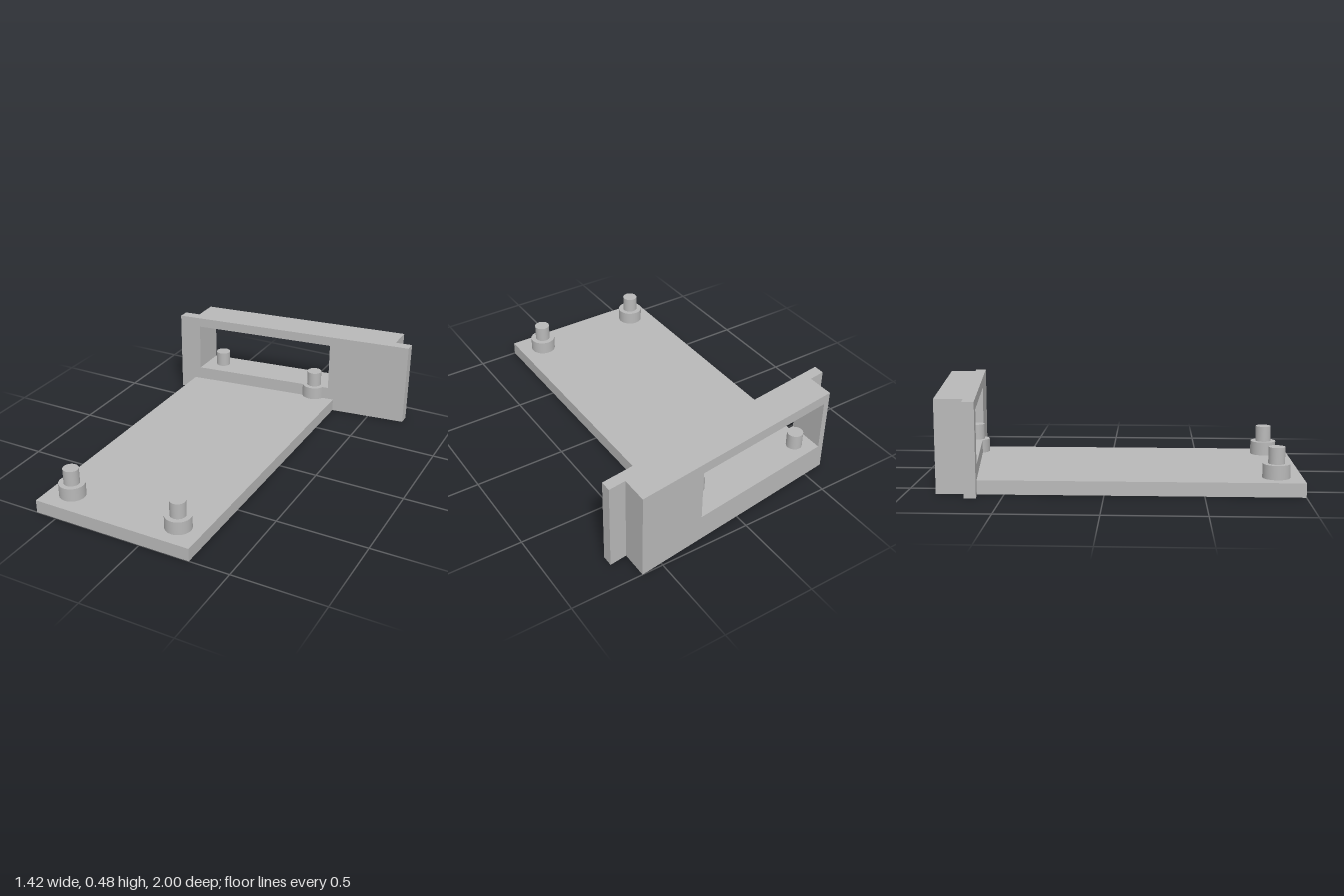
import * as THREE from 'three';

const SLOPE = -0.127;      // the end panel runs back towards +x
const FRONT = -0.715;      // panel front face at x = 0
const HEIGHT = 0.48;
const PLATE = 0.072;       // plate thickness
const SILL = 0.145;        // window sill and boss top

export function createModel() {
  const model = new THREE.Group();
  model.name = 'mountingBracket';
  const grey = new THREE.MeshStandardMaterial({ color: 0xb8b8b8 });
  grey.name = 'grey';

  function add(parent, name, geometry, x = 0, y = 0, z = 0) {
    const mesh = new THREE.Mesh(geometry, grey);
    mesh.name = name;
    mesh.position.set(x, y, z);
    parent.add(mesh);
  }

  const rectangle = (x0, y0, x1, y1) => [[x0, y0], [x1, y0], [x1, y1], [x0, y1]]
    .map(([x, y]) => new THREE.Vector2(x, y));

  // Windowed slab, sheared in z so its ends stay square to the plate
  function slab(x0, x1, back, front) {
    const shape = new THREE.Shape(rectangle(x0, 0, x1, HEIGHT));
    shape.holes.push(new THREE.Path(rectangle(-0.585, SILL, 0.245, 0.425)));
    const geometry = new THREE.ExtrudeGeometry(shape, { depth: front - back, bevelEnabled: false });
    const p = geometry.attributes.position;
    for (let i = 0; i < p.count; i++) p.setZ(i, p.getZ(i) + back + SLOPE * p.getX(i));
    geometry.computeVertexNormals();
    return geometry;
  }

  // End panel: wide front flange and narrower body behind it
  const panel = new THREE.Group();
  panel.name = 'endPanel';
  model.add(panel);
  add(panel, 'panelFlange', slab(-0.71, 0.71, FRONT - 0.06, FRONT));
  add(panel, 'panelBody', slab(-0.62, 0.615, FRONT - 0.207, FRONT - 0.06));

  // Base plate, cut at an angle to meet the panel (shape y is -z)
  const outline = [[-0.62, -1], [0.28, -1], [0.28, -FRONT - SLOPE * 0.28], [-0.62, -FRONT + SLOPE * 0.62]];
  const plate = new THREE.ExtrudeGeometry(
    new THREE.Shape(outline.map(([x, y]) => new THREE.Vector2(x, y))),
    { depth: PLATE, bevelEnabled: false });
  plate.rotateX(-Math.PI / 2);
  add(model, 'basePlate', plate);

  // Stepped locating pegs near the four corners
  for (const x of [-0.487, 0.145]) {
    for (const z of [0.865, -0.765]) {
      const peg = new THREE.Group();
      peg.name = 'locatingPeg';
      peg.position.set(x, 0, z);
      model.add(peg);
      const bossHeight = SILL - PLATE;
      add(peg, 'pegBoss', new THREE.CylinderGeometry(0.07, 0.07, bossHeight, 40), 0, PLATE + bossHeight / 2);
      add(peg, 'pegPin', new THREE.CylinderGeometry(0.042, 0.042, 0.085, 40), 0, SILL + 0.0425);
    }
  }
  return model;
}
